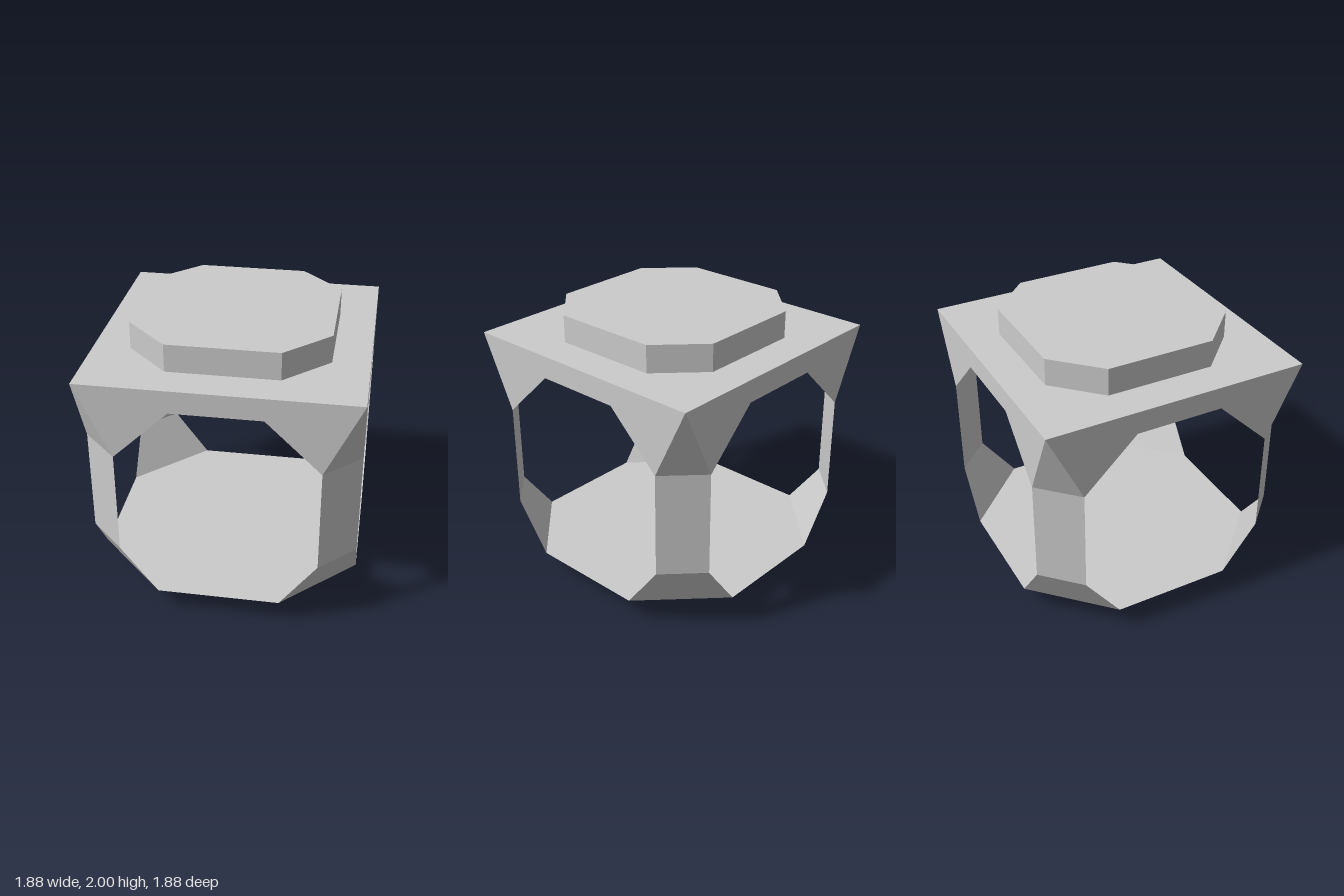
import * as THREE from 'three';

const material = new THREE.MeshStandardMaterial({ color: 0xcccccc, flatShading: true, side: THREE.DoubleSide });
const HALF = 0.94, TOP = 1.805, FLOOR = 0.175;

function add(group, name, geometry) {
  const mesh = new THREE.Mesh(geometry, material);
  mesh.name = name;
  group.add(mesh);
  return mesh;
}

// Octagon outline: flat sides at distance a, each flat side 2b long
const octagon = (a, b) => [[-b, -a], [b, -a], [a, -b], [a, b], [b, a], [-b, a], [-a, b], [-a, -b]]
  .map(([x, y]) => new THREE.Vector2(x, y));

// Horizontal sheet at height y, facing up or down
function plate(shape, y, up = true) {
  const g = new THREE.ShapeGeometry(shape);
  g.rotateX(up ? -Math.PI / 2 : Math.PI / 2);
  return g.translate(0, y, 0);
}

// Skin over cross-sections listed from bottom to top, points left to right seen from outside
function loft(rows) {
  const pos = [];
  for (let i = 0; i < rows.length - 1; i++) {
    for (let j = 0; j < rows[i].length - 1; j++) {
      const [a, b, c, d] = [rows[i][j], rows[i][j + 1], rows[i + 1][j + 1], rows[i + 1][j]];
      pos.push(...a, ...b, ...c);
      if (c.some((v, k) => v !== d[k])) pos.push(...a, ...c, ...d);
    }
  }
  const g = new THREE.BufferGeometry();
  g.setAttribute('position', new THREE.Float32BufferAttribute(pos, 3));
  g.computeVertexNormals();
  return g;
}

// Upright octagonal wall
function band(a, b, y0, y1) {
  const pts = octagon(a, b);
  pts.push(pts[0]);
  return loft([y0, y1].map((y) => pts.map((p) => [p.x, y, -p.y])));
}

export function createModel() {
  const model = new THREE.Group();
  model.name = 'octagonalCage';

  // Foot under the floor
  add(model, 'footWall', band(0.71, 0.33, 0, FLOOR));
  add(model, 'footBase', plate(new THREE.Shape(octagon(0.71, 0.33)), 0, false));

  // Floor sheet
  add(model, 'floor', plate(new THREE.Shape(octagon(HALF, 0.43)), FLOOR));

  // Square top with an opening into the hollow cap
  const square = new THREE.Shape([[-1, -1], [1, -1], [1, 1], [-1, 1]]
    .map(([x, y]) => new THREE.Vector2(x * HALF, y * HALF)));
  square.holes.push(new THREE.Path(octagon(0.683, 0.383).reverse()));
  add(model, 'topPlate', plate(square, TOP));
  add(model, 'capWall', band(0.683, 0.383, TOP, 2));
  add(model, 'capLid', plate(new THREE.Shape(octagon(0.683, 0.383)), 2));

  // Arched upper panel and chamfered corner post, repeated on four sides
  const panelShape = new THREE.Shape([
    [-HALF, TOP], [-0.69, 1.28], [-0.31, 1.645], [0.31, 1.645], [0.69, 1.28], [HALF, TOP],
  ].map(([x, y]) => new THREE.Vector2(x, y)));
  const panel = new THREE.ShapeGeometry(panelShape).translate(0, 0, HALF);
  const post = loft([[FLOOR, 0.43], [0.525, 0.69], [1.28, 0.69], [TOP, HALF]]
    .map(([y, s]) => [[s, y, HALF], [HALF, y, s]]));
  for (let i = 0; i < 4; i++) {
    const side = new THREE.Group();
    side.name = 'side' + (i + 1);
    add(side, 'upperPanel', panel);
    add(side, 'cornerPost', post);
    side.rotation.y = i * Math.PI / 2;
    model.add(side);
  }
  return model;
}
